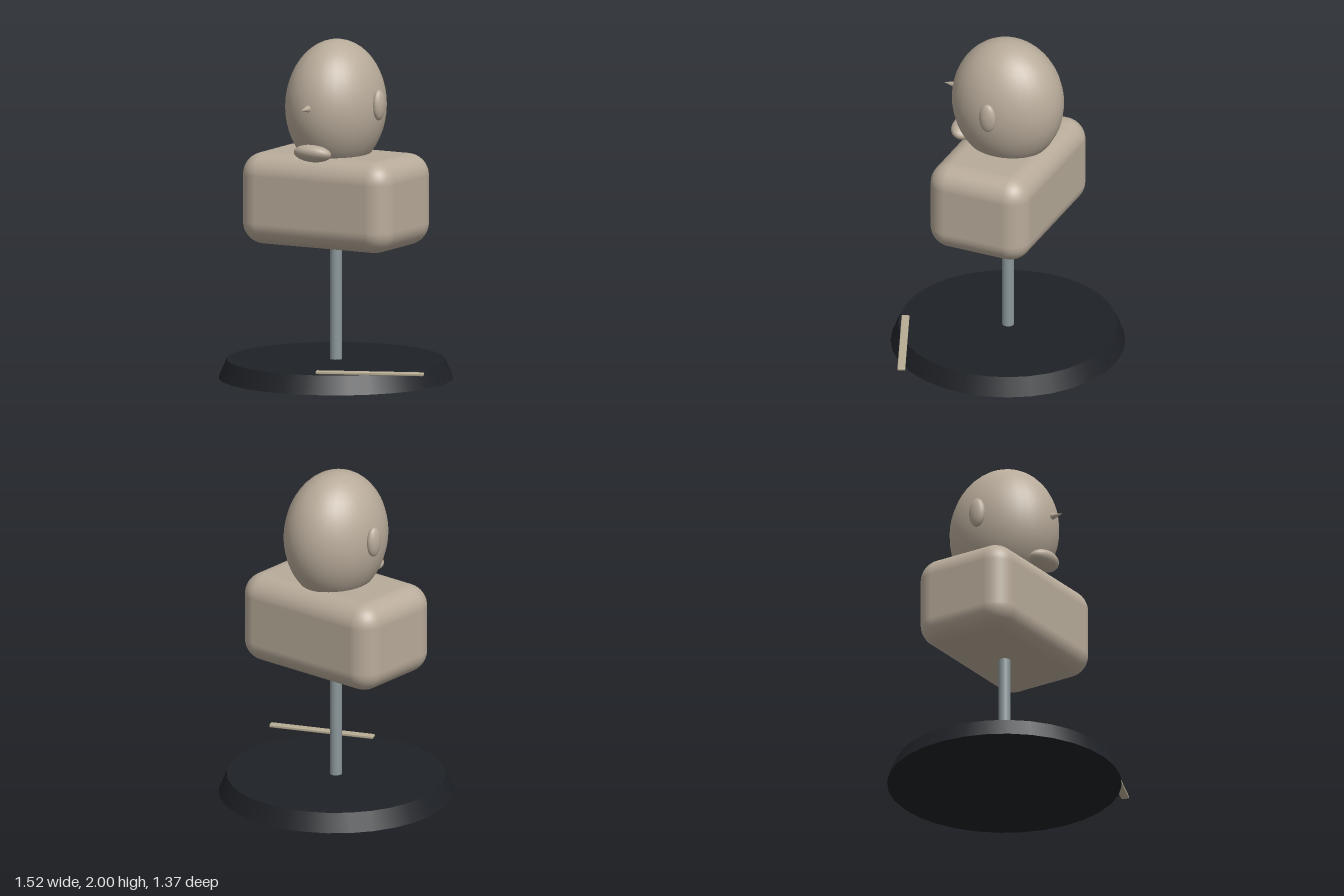
import * as THREE from 'three';
import { RoundedBoxGeometry } from 'three/addons/geometries/RoundedBoxGeometry.js';

const material = (color) => new THREE.MeshStandardMaterial({ color });

export function createModel() {
  const model = new THREE.Group();
  const clay = material(0xb8ab9a);
  const metal = material(0x8c989c);
  const dark = material(0x1e2126);
  const wood = material(0xb8ad94);

  const add = (parent, name, geometry, mat, x, y, z) => {
    const mesh = new THREE.Mesh(geometry, mat);
    mesh.name = name;
    mesh.position.set(x, y, z);
    parent.add(mesh);
    return mesh;
  };
  const ellipsoid = (rx, ry, rz, w = 32, h = 24) =>
    new THREE.SphereGeometry(1, w, h).scale(rx, ry, rz);

  // Stand: tapered disc and pole
  const stand = new THREE.Group();
  stand.name = 'stand';
  stand.position.x = -0.075;
  model.add(stand);
  add(stand, 'base', new THREE.CylinderGeometry(0.64, 0.686, 0.11, 32), dark, 0, 0.055, 0);
  add(stand, 'pole', new THREE.CylinderGeometry(0.035, 0.035, 0.75, 20), metal, 0, 0.475, 0);

  // Bust, turned slightly to its left
  const bust = new THREE.Group();
  bust.name = 'bust';
  bust.position.x = -0.075;
  bust.rotation.y = 0.16;
  model.add(bust);
  add(bust, 'torso', new RoundedBoxGeometry(1.0, 0.54, 0.63, 6, 0.13), clay, 0, 1.06, 0);
  add(bust, 'head', ellipsoid(0.283, 0.39, 0.337), clay, 0, 1.61, 0);
  for (const side of [-1, 1]) {
    add(bust, side > 0 ? 'leftEar' : 'rightEar', ellipsoid(0.032, 0.09, 0.052, 20, 14), clay, side * 0.288, 1.632, 0);
  }
  add(bust, 'nose', new THREE.ConeGeometry(0.027, 0.1, 16).rotateX(Math.PI / 2), clay, 0, 1.632, 0.36);
  const mouth = add(bust, 'mouth', ellipsoid(0.12, 0.05, 0.073, 24, 16), clay, 0, 1.361, 0.277);
  mouth.rotation.x = -0.35;

  // Loose flat stick lying across the edge of the base
  const stick = add(model, 'stick', new RoundedBoxGeometry(0.635, 0.018, 0.046, 2, 0.005), wood, 0.475, 0.123, 0.367);
  stick.rotation.y = 0.55;

  return model;
}
